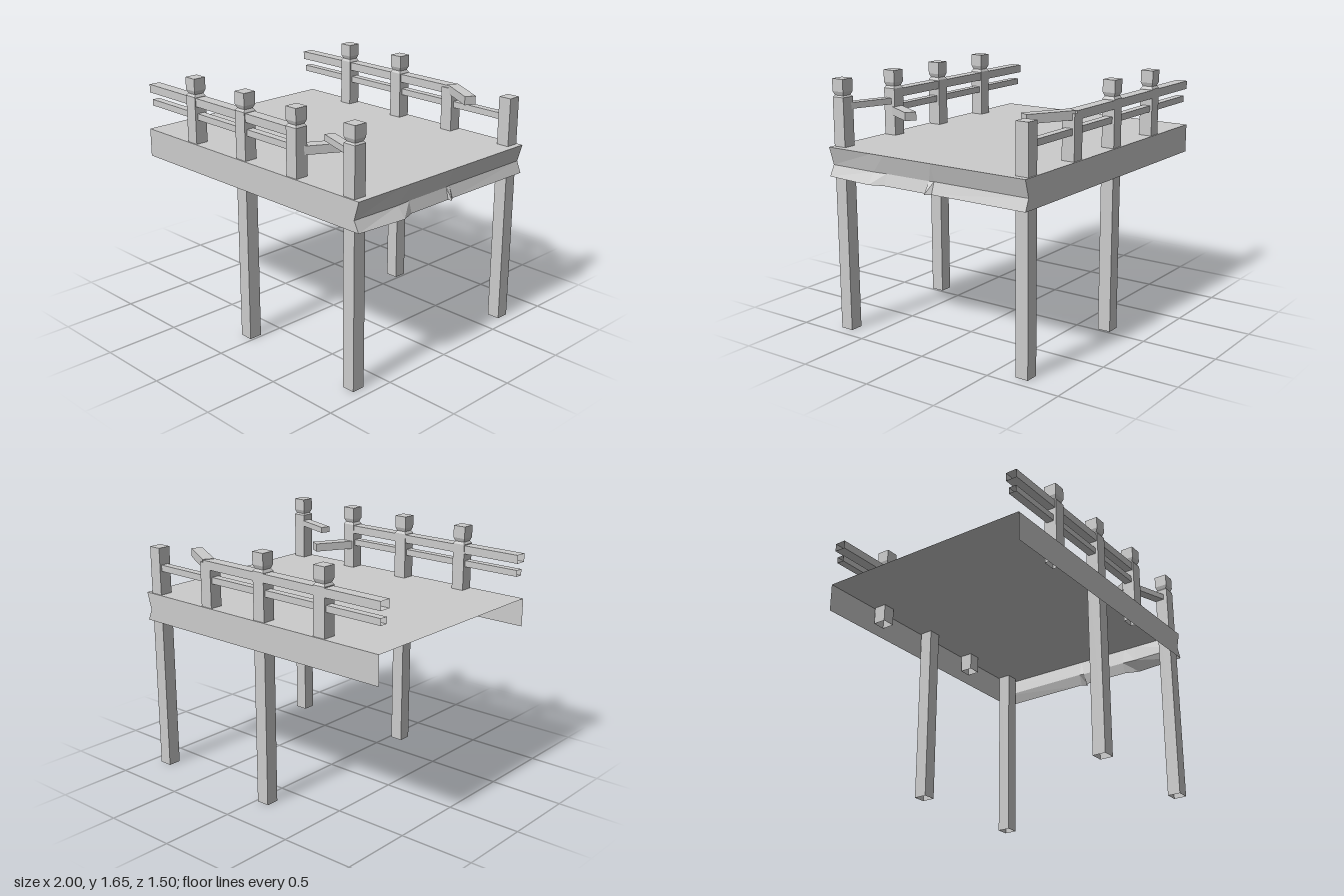
import * as THREE from 'three';

const material = new THREE.MeshStandardMaterial({ color: 0xcccccc, flatShading: true, side: THREE.DoubleSide });

export function createModel() {
  const model = new THREE.Group();
  const add = (name, geometry, x = 0, y = 0, z = 0) => {
    const mesh = new THREE.Mesh(geometry, material);
    mesh.name = name;
    mesh.position.set(x, y, z);
    model.add(mesh);
    return mesh;
  };

  // Deck: a single sheet, open underneath and at the left end
  add('deckTop', new THREE.PlaneGeometry(1.968, 1.5).rotateX(-Math.PI / 2), -0.016, 1.22, 0);

  // Snapped end: rows of [z, top x, fold x, fold y, bottom x]
  const rows = [
    [0.75, 0.968, 0.932, 1.10, 0.968],
    [0.40, 0.968, 0.945, 1.102, 0.998],
    [0.30, 0.968, 0.94, 1.103, 0.962],
    [-0.03, 0.968, 0.94, 1.104, 0.962],
    [-0.035, 0.968, 0.94, 1.104, 0.99],
    [-0.07, 0.968, 0.935, 1.105, 0.962],
    [-0.75, 0.968, 0.935, 1.105, 0.966],
  ];
  const positions = [];
  const index = [];
  rows.forEach(([z, top, fold, foldY, bottom], i) => {
    positions.push(top, 1.22, z, fold, foldY, z, bottom, 1.03, z);
    if (i === 0) return;
    for (let k = 0; k < 2; k++) {
      const a = (i - 1) * 3 + k;
      index.push(a, a + 1, a + 3, a + 1, a + 4, a + 3);
    }
  });
  const end = new THREE.BufferGeometry();
  end.setAttribute('position', new THREE.Float32BufferAttribute(positions, 3));
  end.setIndex(index);
  end.computeVertexNormals();
  add('brokenEnd', end);

  // Side skirts, notched where they meet the snapped end
  for (const row of [rows[0], rows[rows.length - 1]]) {
    const [z, top, fold, foldY, bottom] = row;
    const skirt = new THREE.Shape([
      [-1, 1.03], [bottom, 1.03], [fold, foldY], [top, 1.22], [-1, 1.22],
    ].map(([x, y]) => new THREE.Vector2(x, y)));
    const mesh = add(z > 0 ? 'frontSkirt' : 'backSkirt', new THREE.ShapeGeometry(skirt), 0, 0, z);
    if (z < 0) mesh.geometry.index.array.reverse();
    mesh.geometry.computeVertexNormals();
  }

  // Square posts with open feet; capped ones have a pinched neck under a block
  const post = (name, x, z, bottom, top, capped) => {
    const profile = [[0.044, bottom], [0.044, top]];
    if (capped) profile.push([0.034, 1.545], [0.044, 1.57], [0.044, 1.65]);
    profile.push([0, profile[profile.length - 1][1]]);
    const points = profile.map(([half, y]) => new THREE.Vector2(half * Math.SQRT2, y));
    add(name, new THREE.LatheGeometry(points, 4, Math.PI / 4), x, 0, z);
  };
  for (const side of [1, -1]) {
    const label = side > 0 ? 'front' : 'back';
    const z = side * 0.697;
    post(label + 'OuterPost', -0.546, z, 1.1, 1.53, true);
    post(label + 'MiddleLeg', -0.059, z, 0, 1.53, true);
    post(label + 'InnerPost', 0.404, z, 1.1, side > 0 ? 1.53 : 1.51, side > 0);
    post(label + 'EndLeg', 0.882, z, 0, 1.535, side > 0);
  }

  // Hollow rails with open ends
  const rail = (name, x0, x1, y, z, height, depth) => {
    const tube = new THREE.CylinderGeometry(Math.SQRT1_2, Math.SQRT1_2, 1, 4, 1, true, Math.PI / 4);
    tube.rotateZ(Math.PI / 2).scale(x1 - x0, height, depth);
    add(name, tube, (x0 + x1) / 2, y, z);
  };
  rail('frontUpperRail', -1, 0.4, 1.497, 0.695, 0.055, 0.078);
  rail('frontLowerRail', -0.99, 0.4, 1.4, 0.697, 0.042, 0.052);
  rail('backUpperRail', -1, 0.42, 1.497, -0.702, 0.055, 0.078);
  rail('backLowerRail', -0.99, 0.88, 1.4, -0.7, 0.042, 0.052);

  // Snapped rail pieces swung in over the deck
  const brokenRail = (name, [x0, z0], [x1, z1], y, height, width) => {
    const beam = new THREE.BoxGeometry(Math.hypot(x1 - x0, z1 - z0), height, width);
    const mesh = add(name, beam, (x0 + x1) / 2, y, (z0 + z1) / 2);
    mesh.rotation.y = -Math.atan2(z1 - z0, x1 - x0);
  };
  brokenRail('frontInnerBrokenRail', [0.40, 0.685], [0.54, 0.438], 1.383, 0.055, 0.076);
  brokenRail('frontEndBrokenRail', [0.88, 0.695], [0.57, 0.59], 1.476, 0.04, 0.064);
  brokenRail('backBrokenRail', [0.41, -0.705], [0.69, -0.545], 1.499, 0.057, 0.074);

  return model;
}
